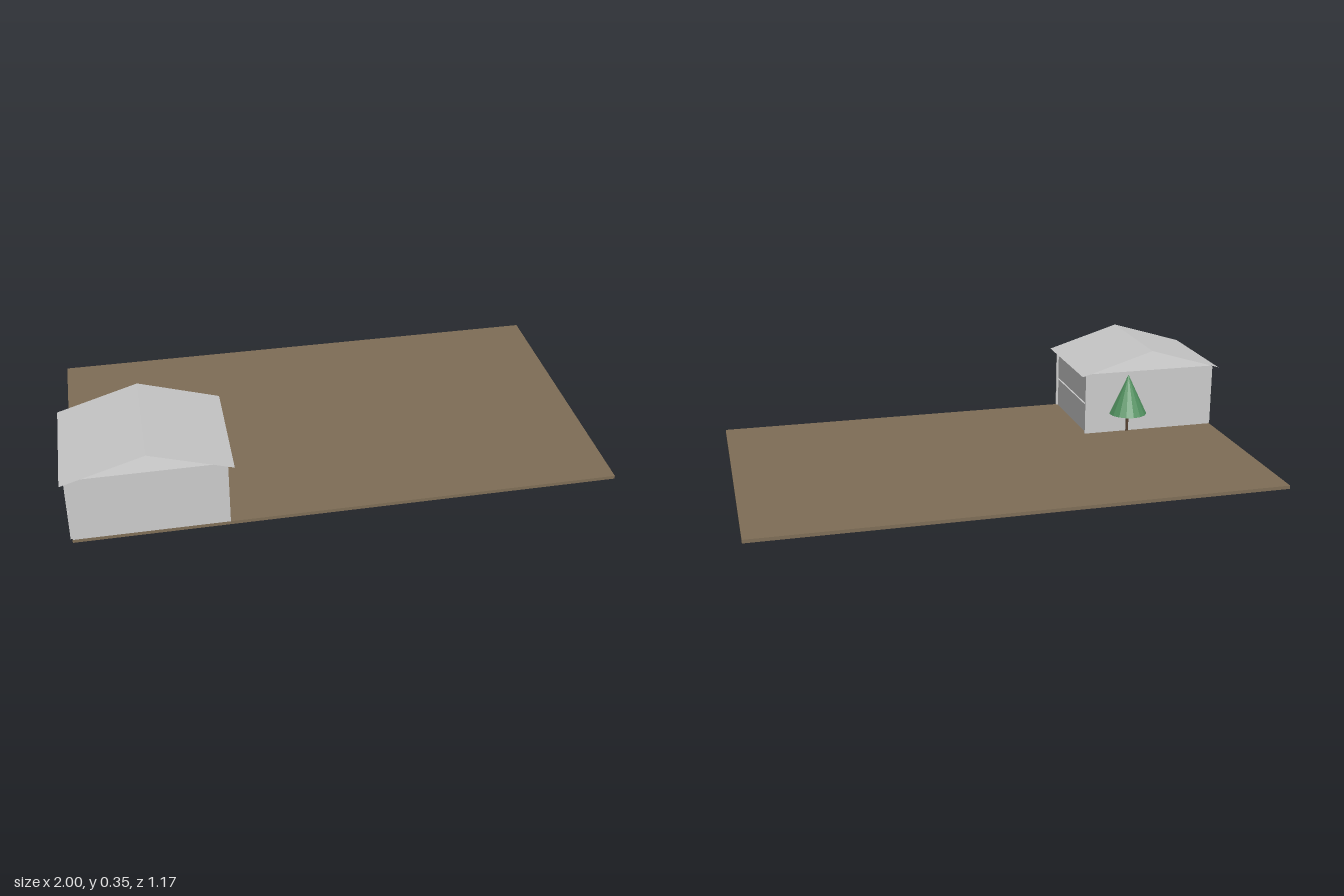
import * as THREE from 'three';

const material = (name, color, extra = {}) => {
  const m = new THREE.MeshStandardMaterial({ color, ...extra });
  m.name = name;
  return m;
};

export function createModel() {
  const model = new THREE.Group();
  const earth = material('earth brown', 0x7f6e57);
  const wall = material('wall grey', 0xcccccc);
  const roofGrey = material('roof grey', 0xc8c8c8, { side: THREE.DoubleSide });
  const leaf = material('leaf green', 0x529160, { flatShading: true });
  const bark = material('bark brown', 0x5a4433);

  const add = (parent, name, geometry, mat) => {
    const mesh = new THREE.Mesh(geometry, mat);
    mesh.name = name;
    parent.add(mesh);
    return mesh;
  };
  // Box given by its limits on each axis
  const box = (parent, name, mat, [x0, x1], [y0, y1], [z0, z1]) =>
    add(parent, name, new THREE.BoxGeometry(x1 - x0, y1 - y0, z1 - z0), mat)
      .position.set((x0 + x1) / 2, (y0 + y1) / 2, (z0 + z1) / 2);

  const ground = 0.013;
  box(model, 'ground', earth, [-0.98, 1], [0, ground], [-0.585, 0.56]);

  // House: end walls, a core between them and two storeys of side panels
  const house = new THREE.Group();
  house.name = 'house';
  model.add(house);
  box(house, 'frontWall', wall, [-0.978, -0.43], [ground, 0.266], [0.553, 0.56]);
  box(house, 'backWall', wall, [-0.978, -0.43], [ground, 0.266], [0.15, 0.157]);
  box(house, 'core', wall, [-0.975, -0.445], [ground, 0.26], [0.157, 0.553]);
  for (const [y0, y1] of [[ground, 0.13], [0.137, 0.258]]) {
    box(house, 'rightPanel', wall, [-0.986, -0.975], [y0, y1], [0.16, 0.555]);
    box(house, 'leftPanel', wall, [-0.445, -0.438], [y0, y1], [0.16, 0.55]);
  }

  // Open gable roof: two thin sloping sheets
  const halfWidth = 0.295, rise = 0.09;
  for (const side of [-1, 1]) {
    const sheet = new THREE.PlaneGeometry(Math.hypot(halfWidth, rise), 0.455);
    sheet.rotateX(-Math.PI / 2);
    sheet.rotateZ(-side * Math.atan2(rise, halfWidth));
    add(house, side < 0 ? 'rightRoof' : 'leftRoof', sheet, roofGrey)
      .position.set(-0.705 + side * halfWidth / 2, 0.262 + rise / 2, 0.3575);
  }

  // Tree against the back wall
  const tree = new THREE.Group();
  tree.name = 'tree';
  tree.position.set(-0.612, ground, 0.148);
  model.add(tree);
  add(tree, 'trunk', new THREE.CylinderGeometry(0.006, 0.006, 0.08, 8), bark).position.y = 0.04;
  add(tree, 'foliage', new THREE.ConeGeometry(0.078, 0.162, 16), leaf).position.y = 0.159;

  return model;
}
